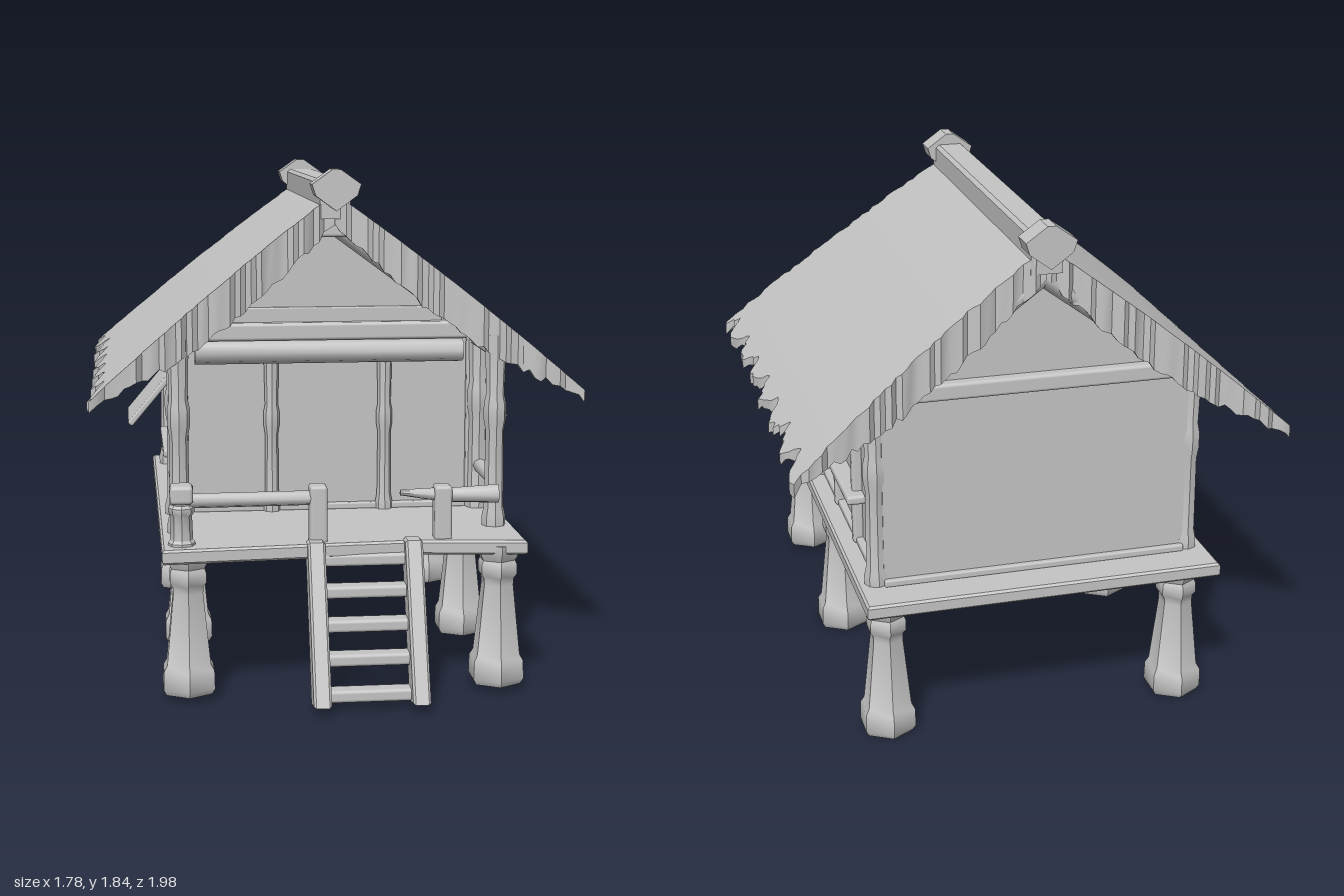
import * as THREE from 'three';
import { toCreasedNormals } from 'three/addons/utils/BufferGeometryUtils.js';
import { RoundedBoxGeometry } from 'three/addons/geometries/RoundedBoxGeometry.js';

const clay = new THREE.MeshStandardMaterial({ color: 0xc4c4c4 });
clay.name = 'pale grey';

// repeatable noise in -1..1
const noise = (n) => {
  const s = Math.sin(n * 127.1 + 11.7) * 43758.5453;
  return (s - Math.floor(s)) * 2 - 1;
};

export function createModel() {
  const group = new THREE.Group();
  group.name = 'stiltHut';

  const add = (name, geometry, x = 0, y = 0, z = 0) => {
    const mesh = new THREE.Mesh(geometry, clay);
    mesh.name = name;
    mesh.position.set(x, y, z);
    group.add(mesh);
    return mesh;
  };
  // softened block given by its limits
  const block = (name, x0, x1, y0, y1, z0, z1, r = 0.012) =>
    add(name, new RoundedBoxGeometry(x1 - x0, y1 - y0, z1 - z0, 2, r),
      (x0 + x1) / 2, (y0 + y1) / 2, (z0 + z1) / 2);
  // turned part with a few sides
  const turned = (name, profile, sides, x, y, z) => {
    const g = new THREE.LatheGeometry(profile.map(([r, h]) => new THREE.Vector2(r, h)), sides);
    return add(name, toCreasedNormals(g, 0.6), x, y, z);
  };
  // pole between two points
  const pole = (name, a, b, r0, r1 = r0) => {
    const from = new THREE.Vector3(...a), to = new THREE.Vector3(...b);
    const dir = to.clone().sub(from);
    const g = toCreasedNormals(new THREE.CylinderGeometry(r1, r0, dir.length(), 8), 0.9);
    const m = add(name, g);
    m.position.copy(from).add(to).multiplyScalar(0.5);
    m.quaternion.setFromUnitVectors(new THREE.Vector3(0, 1, 0), dir.normalize());
    return m;
  };
  // upright with swollen ends and middle
  const post = (name, x, z, y0, y1, r = 0.038) => {
    const h = y1 - y0;
    turned(name, [[0, 0], [r * 1.15, 0], [r * 1.15, 0.05 * h], [r * 0.95, 0.1 * h], [r * 0.88, 0.5 * h],
      [r * 1.08, 0.56 * h], [r * 1.08, 0.64 * h], [r * 0.88, 0.69 * h], [r, 0.95 * h], [r, h], [0, h]], 8, x, y0, z);
  };
  const outline = (points) => new THREE.Shape(points.map(([x, y]) => new THREE.Vector2(x, y)));
  // outline in x-y pushed along z
  const prism = (name, points, z0, z1) =>
    add(name, new THREE.ExtrudeGeometry(outline(points), { depth: z1 - z0, bevelEnabled: false }), 0, 0, z0);
  // outline with slightly bevelled edges
  const plank = (points, depth) => new THREE.ExtrudeGeometry(outline(points),
    { depth, bevelSize: 0.008, bevelThickness: 0.008, bevelOffset: -0.008, bevelSegments: 1 });

  // stilts
  const stilt = [[0, 0], [0.092, 0], [0.104, 0.02], [0.102, 0.085], [0.088, 0.108], [0.06, 0.36],
    [0.062, 0.385], [0.073, 0.4], [0.073, 0.435], [0.066, 0.45], [0.084, 0.485], [0.084, 0.51], [0, 0.51]];
  for (const s of [-1, 1]) {
    for (const z of [0.72, 0, -0.82]) {
      turned('stilt', stilt, 6, s < 0 && z < 0.5 ? -0.525 : s * 0.55, z > 0.5 ? 0.02 : 0, z);
    }
  }

  // deck
  const deckGeo = plank([[-0.64, -0.82], [-0.1, -0.78], [0.25, -0.76], [0.64, -0.805], [0.64, 0.95], [-0.64, 0.95]], 0.036);
  deckGeo.rotateX(-Math.PI / 2);
  add('deck', deckGeo, 0, 0.508, 0);

  // house body with gables
  prism('houseBody', [[-0.55, 0.54], [0.55, 0.54], [0.55, 1.24], [0, 1.655], [-0.55, 1.24]], -0.8, 0.2);

  // front wall trim
  for (const s of [-1, 1]) {
    post('frontWallPost', s * 0.213, 0.215, 0.55, 1.14, 0.028);
    block('frontWallEdge', s * 0.54 - 0.015, s * 0.54 + 0.015, 0.55, 1.2, 0.19, 0.225, 0.006);
  }
  pole('lintelLog', [-0.5, 1.16, 0.26], [0.5, 1.16, 0.26], 0.043);
  block('frontTieBeam', -0.53, 0.53, 1.2, 1.265, 0.17, 0.25);
  block('gableBoard', -0.43, 0.43, 1.26, 1.32, 0.19, 0.21, 0.006);
  block('frontSill', -0.54, 0.54, 0.55, 0.575, 0.19, 0.22, 0.006);
  block('ridgeBracket', -0.09, 0.09, 1.585, 1.64, 0.19, 0.3);

  // back wall trim
  block('backTieBeam', -0.53, 0.53, 1.23, 1.29, -0.84, -0.78);
  block('backSill', -0.55, 0.55, 0.55, 0.575, -0.82, -0.79, 0.006);

  for (const s of [-1, 1]) {
    // corner and porch posts, wall plate, rafters
    for (const z of [0.54, 0.225, -0.77]) post('cornerPost', s * 0.57, z, 0.55, 1.25);
    pole('wallPlate', [s * 0.56, 1.2, 0.54], [s * 0.56, 1.2, -0.82], 0.028);
    for (const z of [0.225, -0.835]) pole('rafter', [0, 1.64, z], [s * 0.68, 1.14, z], 0.034);
    // porch side rail
    pole('sideRail', [s * 0.575, 0.715, 0.54], [s * 0.575, 0.715, 0.23], 0.026);

    // side window with sill, uprights and propped shutter
    for (const z of [-0.09, -0.43]) block('windowUpright', s * 0.565 - 0.02, s * 0.565 + 0.02, 0.55, 1.04, z - 0.022, z + 0.022);
    block('windowSill', s * 0.58 - 0.035, s * 0.58 + 0.035, 0.725, 0.76, -0.5, 0.03);
    block('windowHead', s * 0.57 - 0.025, s * 0.57 + 0.025, 1.0, 1.035, -0.46, -0.04);
    block('windowBase', s * 0.56 - 0.015, s * 0.56 + 0.015, 0.55, 0.575, -0.75, 0.2, 0.006);
    const shutter = add('windowShutter', new RoundedBoxGeometry(0.024, 0.235, 0.35, 2, 0.008), s * 0.665, 0.93, -0.24);
    shutter.rotation.z = s * 0.7;
  }

  // porch front railing, whole on one side and broken on the other
  post('railPost', -0.57, 0.73, 0.55, 0.76, 0.042);
  block('railPostCap', -0.61, -0.53, 0.7, 0.765, 0.685, 0.775, 0.014);
  pole('frontRail', [-0.57, 0.705, 0.725], [-0.09, 0.705, 0.715], 0.026);
  pole('brokenSideRail', [-0.575, 0.71, 0.73], [-0.575, 0.7, 0.56], 0.026, 0.012);
  block('railPost', -0.122, -0.06, 0.5, 0.75, 0.67, 0.745);
  block('brokenRailPost', 0.32, 0.382, 0.5, 0.74, 0.675, 0.745);
  pole('brokenRail', [0.35, 0.705, 0.71], [0.2, 0.715, 0.71], 0.026, 0.01);
  pole('brokenRail', [0.33, 0.7, 0.7], [0.55, 0.705, 0.715], 0.024, 0.034);

  // ladder
  for (const x of [-0.135, 0.208]) {
    const g = plank([[-1.0, 0.03], [-0.9, 0.01], [-0.71, 0.5], [-0.73, 0.56], [-0.79, 0.56]], 0.046);
    g.rotateY(Math.PI / 2); // outline's first axis becomes -z
    add('ladderSide', g, x + 0.008, 0, 0);
  }
  for (const y of [0.05, 0.165, 0.275, 0.385, 0.49]) {
    const z = 0.93 - 0.38 * y;
    block('ladderRung', -0.09, 0.23, y - 0.022, y + 0.022, z - 0.035, z + 0.035);
  }

  // thatched slopes: a slab bent to the roof line, with torn eaves and hanging end fringes
  const NU = 44, NV = 84;
  for (const s of [-1, 1]) {
    const g = new THREE.BoxGeometry(1, 1, 1, NU, 1, NV);
    const p = g.attributes.position;
    for (let i = 0; i < p.count; i++) {
      const u = s > 0 ? p.getX(i) + 0.5 : 0.5 - p.getX(i);
      const v = p.getZ(i) + 0.5;
      const iu = Math.round(u * NU), iv = Math.round(v * NV);
      const atEnd = iv <= 1 || iv >= NV - 1;
      // scalloped eave, fullest at the corners
      const scallop = 0.05 * Math.abs(Math.sin(v * 22 + s)) - 0.025 + 0.015 * (2 * v - 1) ** 4;
      let x = u * (0.845 + scallop * u ** 8);
      if (iu === NU) x += 0.01 * noise(iv + s * 90);
      let y = 1.75 - 0.71 * x - 0.095 * x * x;
      if (p.getY(i) < 0) {
        y -= 0.05 - 0.015 * u;
        if (atEnd) y -= 0.055 * (1 - u) + 0.095 * Math.sin(Math.PI * u) + 0.012 * noise(iu * 3 + s);
        if (iu === NU) y -= 0.012 * noise(iv * 5 + s);
      }
      const back = -0.87 - 0.03 * x - 0.1 * x * x, front = 0.43 + 0.265 * x;
      let z = back + (front - back) * v;
      if (iv === 0 || iv === NV) z += 0.014 * noise(iu * 7 + iv + s * 31);
      p.setXYZ(i, s * x, y, z);
    }
    add('thatchSlope', toCreasedNormals(g, 0.6));
  }

  // ridge beam with carved ends
  prism('ridgeBeam', [[-0.055, 1.66], [0.055, 1.66], [0.055, 1.785], [0.042, 1.797], [-0.042, 1.797], [-0.055, 1.785]], -0.88, 0.44);
  for (const [z0, z1] of [[0.4, 0.49], [-0.93, -0.84]]) {
    prism('ridgeEnd', [[0, 1.69], [0.075, 1.745], [0.088, 1.785], [0.015, 1.837], [-0.015, 1.837],
      [-0.088, 1.785], [-0.075, 1.745]], z0, z1);
  }

  return group;
}
